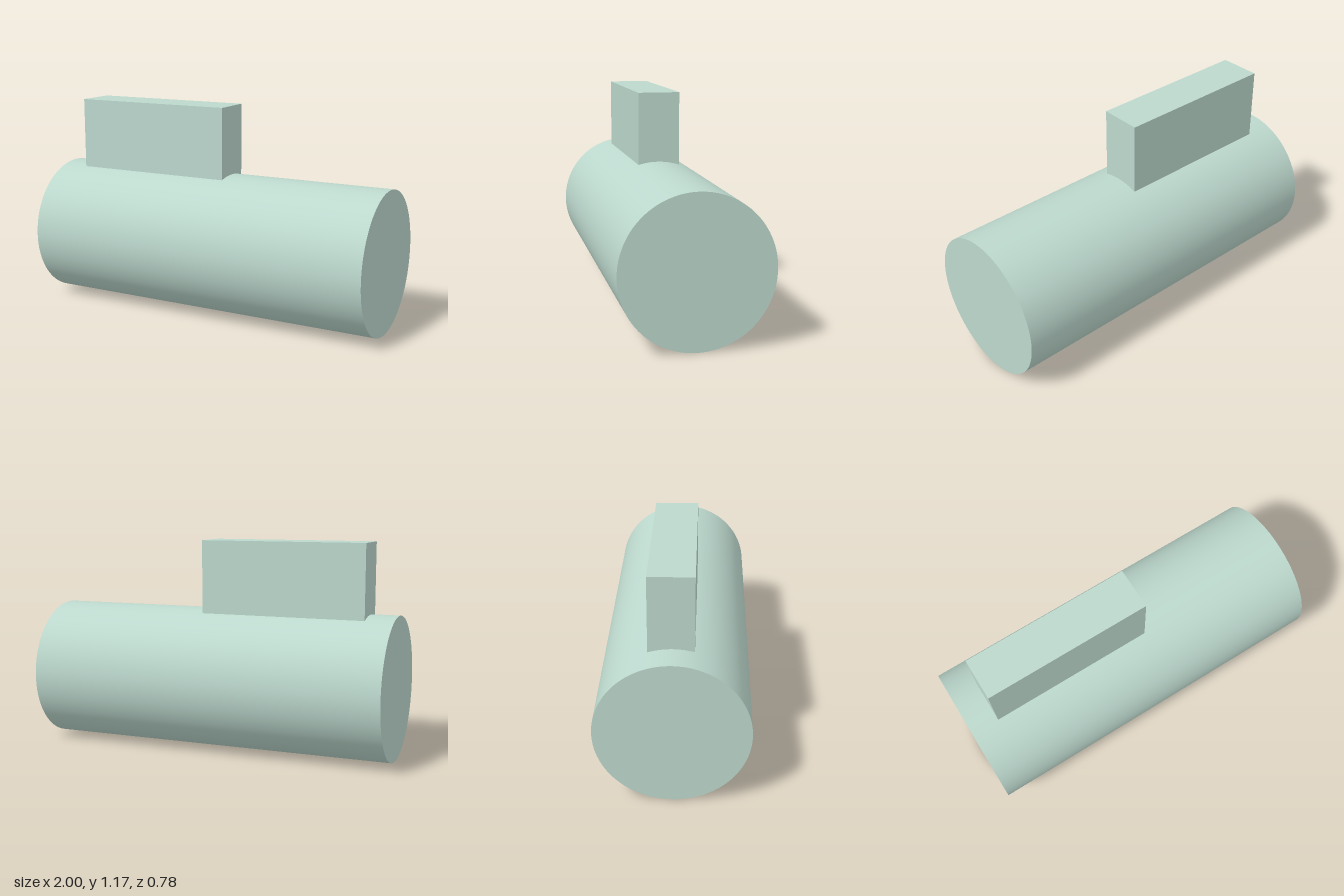
import * as THREE from 'three';

export function createModel() {
  const model = new THREE.Group();
  const material = new THREE.MeshStandardMaterial({ color: 0xbcd8cd });
  const radius = 0.392;

  // Lying cylinder, smooth round side with flat ends
  const body = new THREE.Mesh(new THREE.CylinderGeometry(radius, radius, 2, 128), material);
  body.name = 'body';
  body.rotation.z = Math.PI / 2;
  body.position.y = radius;
  model.add(body);

  // Upright block sunk into the top of the cylinder
  const bottom = 0.7, top = 1.168;
  const block = new THREE.Mesh(new THREE.BoxGeometry(0.92, top - bottom, 0.23), material);
  block.name = 'topBlock';
  block.position.set(-0.385, (top + bottom) / 2, -0.008);
  model.add(block);

  return model;
}
